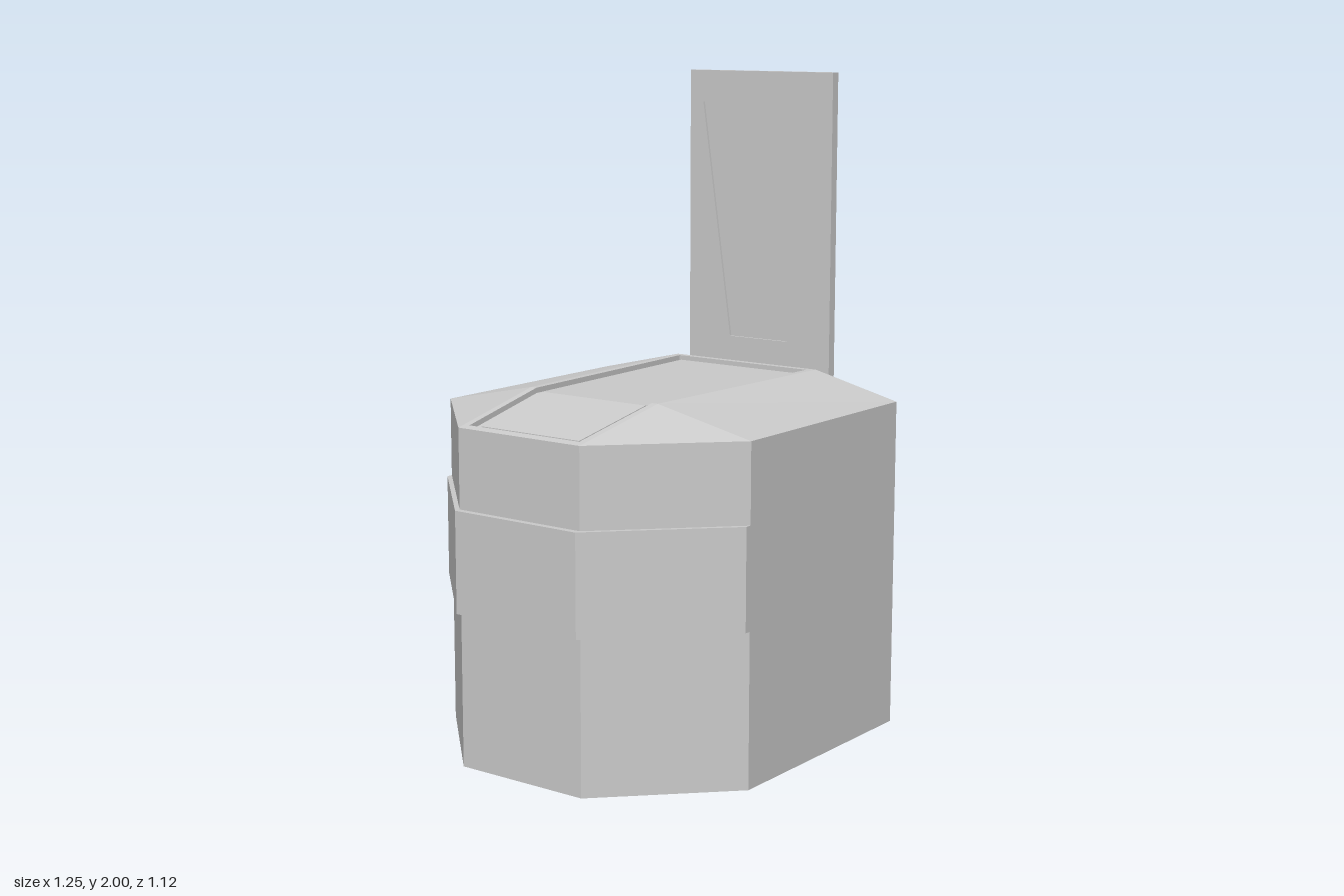
import * as THREE from 'three';

const mat = new THREE.MeshStandardMaterial({ color: 0xcccccc, flatShading: true, side: THREE.DoubleSide });

// Flat mesh from a list of convex polygons, each a list of [x, y, z]
function faces(name, polys) {
  const pos = [];
  for (const p of polys)
    for (let i = 1; i < p.length - 1; i++) pos.push(...p[0], ...p[i], ...p[i + 1]);
  const g = new THREE.BufferGeometry();
  g.setAttribute('position', new THREE.Float32BufferAttribute(pos, 3));
  g.computeVertexNormals();
  const m = new THREE.Mesh(g, mat);
  m.name = name;
  return m;
}

// Box given by its limits on each axis
function box(name, x0, x1, y0, y1, z0, z1) {
  const m = new THREE.Mesh(new THREE.BoxGeometry(x1 - x0, y1 - y0, z1 - z0), mat);
  m.position.set((x0 + x1) / 2, (y0 + y1) / 2, (z0 + z1) / 2);
  m.name = name;
  return m;
}

const mirror = (poly) => poly.map(([x, y, z]) => [x, y, -z]).reverse();

const EAVE = 1.015, RIDGE = 1.085;
const X0 = -0.61, X1 = -0.27, X2 = 0.51, X3 = 0.565;
const roofY = (x) => (x < X1 ? EAVE + (RIDGE - EAVE) * (x - X0) / (X1 - X0) : RIDGE);
const ridgeZ = (x) => 0.222 + 0.045 * (x - X0) / (X2 - X0);

function createWalls() {
  const group = new THREE.Group();
  group.name = 'cabin';
  const plan = [[X3, 0.39], [X2, 0.56], [X1, 0.56], [X0, 0.222],
    [X0, -0.222], [X1, -0.56], [X2, -0.56], [X3, -0.39]];
  // Wall rows; the middle band of the rear stands proud
  const rows = [[0, 0], [0.468, 0], [0.468, -0.02], [0.775, -0.02], [0.775, 0], [EAVE, 0]];
  const point = (i, [y, dx]) => [plan[i][0] + (i >= 2 && i <= 5 ? dx : 0), y, plan[i][1]];
  const walls = [];
  for (let i = 0; i < plan.length - 1; i++)
    for (let r = 0; r < rows.length - 1; r++)
      walls.push([point(i, rows[r]), point(i, rows[r + 1]), point(i + 1, rows[r + 1]), point(i + 1, rows[r])]);
  group.add(faces('walls', walls));

  // Door side wall around the opening
  const jamb = [[X3, 0, 0.39], [X3, 0, 0.27], [X3, EAVE, 0.27], [X3, EAVE, 0.39]];
  group.add(faces('doorWall', [jamb, mirror(jamb),
    [[X3, 0.93, 0.27], [X3, 0.93, -0.27], [X3, EAVE, -0.27], [X3, EAVE, 0.27]]]));
  group.add(faces('floor', [plan.map(([x, z]) => [x, 0, z]).reverse()]));
  return group;
}

function createRoof() {
  const group = new THREE.Group();
  group.name = 'roof';
  const a = [X0, EAVE, ridgeZ(X0)], b = [X1, RIDGE, ridgeZ(X1)], c = [X2, RIDGE, ridgeZ(X2)];
  const eave1 = [X1, EAVE, 0.56], eave2 = [X2, EAVE, 0.56], eave3 = [X3, EAVE, 0.39];
  const side = [[a, eave1, b], [b, eave1, eave2, c], [c, eave2, eave3]];
  const end = [c, eave3, [X3, EAVE, -0.39], [X2, RIDGE, -c[2]]];
  group.add(faces('roofSlopes', [...side, ...side.map(mirror), end]));

  // Middle strip: rim, groove and inset panel, as nested loops
  const ring = (inset, drop) => {
    const half = [X0 + inset, X1, X2 - inset * 0.85].map((x) => [x, roofY(x) - drop, ridgeZ(x) - inset * 0.85]);
    return [...half.map(([x, y, z]) => [x, y, -z]), ...half.slice().reverse()];
  };
  const rings = [ring(0, 0), ring(0.025, 0), ring(0.025, 0.016), ring(0.052, 0.016), ring(0.052, 0.01)];
  const strip = [];
  for (let r = 0; r < rings.length - 1; r++)
    for (let i = 0; i < 6; i++) {
      const j = (i + 1) % 6;
      strip.push([rings[r][i], rings[r + 1][i], rings[r + 1][j], rings[r][j]]);
    }
  const p = rings[rings.length - 1];
  strip.push([p[0], p[5], p[4], p[1]], [p[1], p[4], p[3], p[2]]);
  group.add(faces('roofPanel', strip));
  return group;
}

function createDoor() {
  const group = new THREE.Group();
  group.name = 'door';
  // Raised sliding leaf with a tapered window
  const leaf = new THREE.Shape([[-0.27, 1.003], [0.27, 1.003], [0.27, 2], [-0.27, 2]].map((p) => new THREE.Vector2(...p)));
  const win = [[-0.11, 1.15], [-0.22, 1.9], [0.22, 1.9], [0.11, 1.15]].map((p) => new THREE.Vector2(...p));
  leaf.holes.push(new THREE.Path(win));
  const slab = (name, shape, x, depth) => {
    const g = new THREE.ExtrudeGeometry(shape, { depth, bevelEnabled: false });
    g.rotateY(Math.PI / 2).translate(x, 0, 0);
    const m = new THREE.Mesh(g, mat);
    m.name = name;
    group.add(m);
  };
  slab('doorLeaf', leaf, 0.58, 0.03);
  slab('doorWindow', new THREE.Shape(win), 0.588, 0.014);
  group.add(box('doorLip', 0.583, 0.607, 0.925, 1.003, -0.27, 0.27));
  return group;
}

function createFrame() {
  const group = new THREE.Group();
  group.name = 'doorFrame';
  for (const s of [1, -1]) {
    const span = (u, v) => (s > 0 ? [u, v] : [-v, -u]);
    group.add(box('guideRail', 0.58, 0.61, 0, 0.93, ...span(0.27, 0.303)));
    group.add(box('jamb', X3, 0.625, 0, 0.93, ...span(0.26, 0.27)));
  }
  group.add(box('sill', X3, 0.625, 0, 0.01, -0.26, 0.26));
  group.add(box('lintel', X3, 0.61, 0.918, 0.93, -0.26, 0.26));
  return group;
}

export function createModel() {
  const model = new THREE.Group();
  model.name = 'cabinWithLiftedDoor';
  model.add(createWalls(), createRoof(), createDoor(), createFrame());
  // Handle block emerging from the angled wall beside the door
  model.add(box('handle', 0.515, 0.549, 0.405, 0.583, -0.51, -0.44));
  return model;
}
